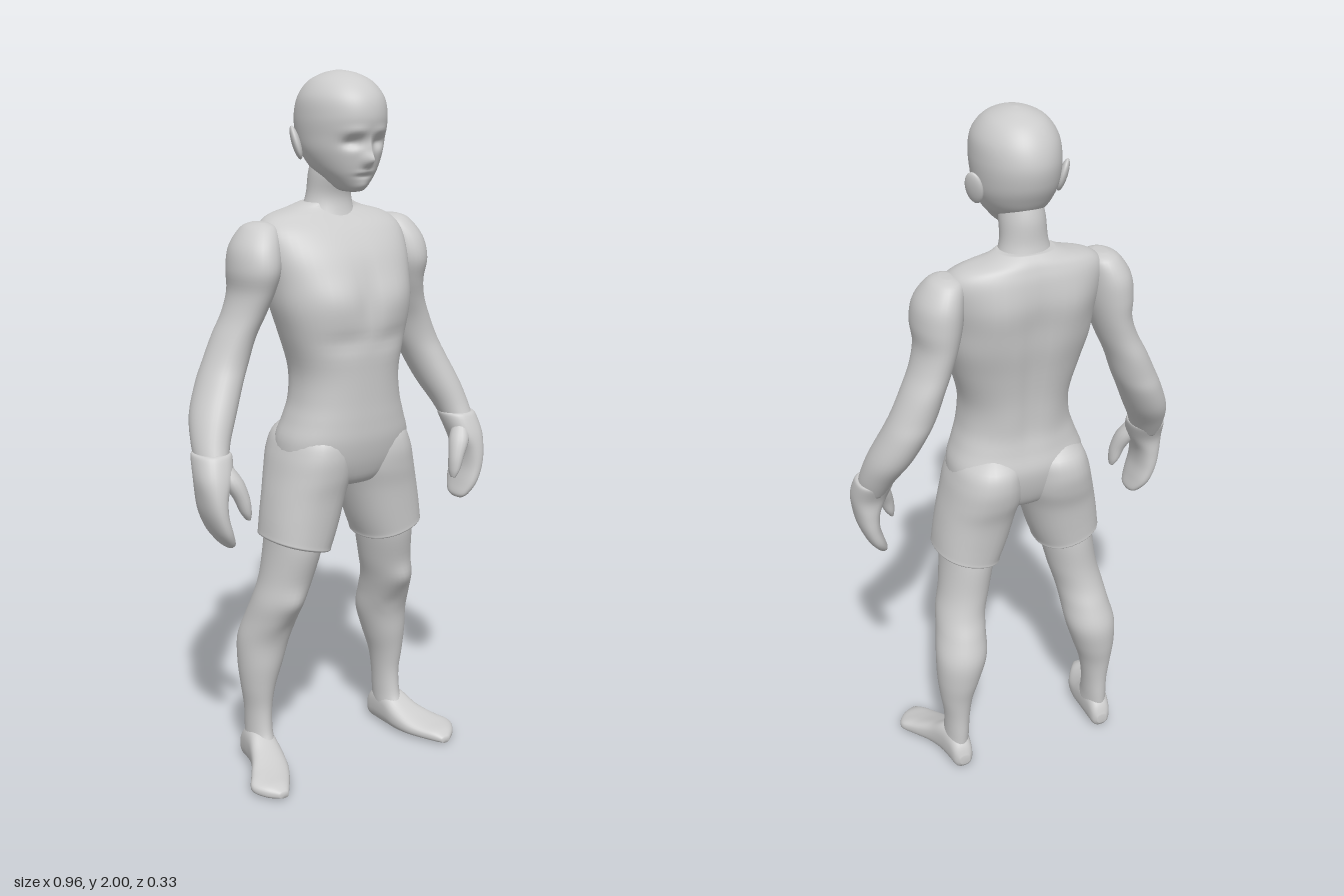
import * as THREE from 'three';

const skin = new THREE.MeshStandardMaterial({ color: 0xcccccc });
skin.name = 'plain grey';

// Smooth interpolation between section rows
function sampleRows(rows, steps) {
  const out = [];
  for (let i = 0; i < rows.length - 1; i++) {
    const p0 = rows[Math.max(i - 1, 0)], p1 = rows[i], p2 = rows[i + 1], p3 = rows[Math.min(i + 2, rows.length - 1)];
    for (let s = 0; s < steps; s++) {
      const t = s / steps;
      out.push(p1.map((_, k) => p1[k] + 0.5 * t * (p2[k] - p0[k] + t * (2 * p0[k] - 5 * p1[k] + 4 * p2[k] - p3[k]
        + t * (3 * (p1[k] - p2[k]) + p3[k] - p0[k])))));
    }
  }
  out.push(rows[rows.length - 1]);
  return out;
}

// Closed loft; each row is [t, xMin, xMax, bMin, bMax], with t along y (b = z) or along z (b = y)
function loft(name, rows, { axis = 'y', side = 1, power = 2, n = 32, steps = 5, rule } = {}) {
  const rings = sampleRows(rows, steps), pos = [], idx = [];
  const add = (a, t, b) => {
    const v = axis === 'y' ? new THREE.Vector3(a, t, b) : new THREE.Vector3(a, b, t);
    if (rule) rule(v);
    pos.push(v.x * side, v.y, v.z);
  };
  const bend = c => Math.sign(c) * Math.abs(c) ** (2 / power);
  for (const [t, x0, x1, b0, b1] of rings) {
    for (let j = 0; j < n; j++) {
      const th = j / n * Math.PI * 2;
      add((x0 + x1) / 2 + bend(Math.cos(th)) * (x1 - x0) / 2, t, (b0 + b1) / 2 + bend(Math.sin(th)) * (b1 - b0) / 2);
    }
  }
  for (const [t, x0, x1, b0, b1] of [rings[0], rings[rings.length - 1]]) add((x0 + x1) / 2, t, (b0 + b1) / 2);
  const flip = (rows[0][0] > rows[rows.length - 1][0]) !== (axis === 'z') !== (side < 0);
  const tri = (a, b, c) => flip ? idx.push(a, c, b) : idx.push(a, b, c);
  const last = (rings.length - 1) * n, start = last + n;
  for (let j = 0; j < n; j++) {
    const k = (j + 1) % n;
    for (let i = 0; i < last; i += n) {
      tri(i + j, i + n + j, i + k);
      tri(i + k, i + n + j, i + n + k);
    }
    tri(start, j, k);
    tri(start + 1, last + k, last + j);
  }
  const g = new THREE.BufferGeometry();
  g.setAttribute('position', new THREE.Float32BufferAttribute(pos, 3));
  g.setIndex(idx);
  g.computeVertexNormals();
  const mesh = new THREE.Mesh(g, skin);
  mesh.name = name;
  return mesh;
}

// Soft bumps [x, y, z, radiusX, radiusY, pushZ], mirrored across x
const sculpt = bumps => v => {
  let push = 0;
  for (const [x, y, z, rx, ry, d] of bumps) {
    if (v.z * z < 0) continue;
    push += d * Math.exp(-(((Math.abs(v.x) - x) / rx) ** 2) - ((v.y - y) / ry) ** 2);
  }
  v.z += push;
};

// Symmetric rows from [y, halfWidth, zBack, zFront]
const centred = rows => rows.map(([y, w, b, f]) => [y, -w, w, b, f]);

function createModel() {
  const model = new THREE.Group();
  model.name = 'figure';

  // Torso with chest, shoulder blades and spine
  model.add(loft('torso', centred([
    [0.86, 0.04, -0.05, 0.05], [0.88, 0.12, -0.09, 0.11], [0.93, 0.19, -0.115, 0.138], [1.0, 0.198, -0.128, 0.155],
    [1.06, 0.178, -0.115, 0.158], [1.12, 0.16, -0.105, 0.158], [1.2, 0.156, -0.112, 0.16], [1.3, 0.183, -0.13, 0.164],
    [1.38, 0.205, -0.145, 0.158], [1.45, 0.213, -0.152, 0.142], [1.52, 0.222, -0.16, 0.112], [1.58, 0.22, -0.155, 0.065],
    [1.615, 0.185, -0.145, 0.02], [1.635, 0.115, -0.135, 0.0], [1.65, 0.075, -0.12, 0.0],
  ]), {
    power: 2.3, n: 48, rule: sculpt([
      [0.09, 1.4, 1, 0.07, 0.06, 0.012], [0, 1.41, 1, 0.02, 0.08, -0.008], [0.07, 1.29, 1, 0.07, 0.025, -0.008],
      [0.11, 1.48, -1, 0.06, 0.1, -0.012], [0, 1.35, -1, 0.03, 0.2, 0.014], [0.06, 1.14, -1, 0.05, 0.08, -0.006],
    ]),
  }));

  // Neck
  model.add(loft('neck', centred([
    [1.57, 0.1, -0.12, 0.04], [1.62, 0.08, -0.12, 0.018], [1.67, 0.064, -0.108, 0.01],
    [1.73, 0.06, -0.104, 0.03], [1.78, 0.05, -0.09, 0.03],
  ])));

  // Head with eye sockets, brow, nose, lips and chin
  model.add(loft('head', centred([
    [1.683, 0.012, 0.035, 0.08], [1.69, 0.034, 0.012, 0.103], [1.72, 0.062, -0.03, 0.122], [1.75, 0.086, -0.085, 0.132],
    [1.79, 0.104, -0.115, 0.14], [1.83, 0.111, -0.133, 0.148], [1.88, 0.114, -0.14, 0.158], [1.93, 0.107, -0.125, 0.146],
    [1.97, 0.08, -0.092, 0.108], [1.992, 0.04, -0.045, 0.058], [2.0, 0.004, -0.002, 0.008],
  ]), {
    n: 64, steps: 8, rule: sculpt([
      [0.04, 1.815, 1, 0.024, 0.016, -0.02], [0.04, 1.845, 1, 0.03, 0.012, 0.005],
      [0, 1.77, 1, 0.013, 0.018, 0.032], [0, 1.8, 1, 0.01, 0.02, 0.01],
      [0, 1.727, 1, 0.025, 0.006, -0.005], [0, 1.738, 1, 0.022, 0.006, 0.005], [0, 1.7, 1, 0.02, 0.012, 0.005],
    ]),
  }));

  for (const side of [1, -1]) {
    const label = side > 0 ? 'left' : 'right';
    const limb = (part, rows, opts = {}) => model.add(loft(label + part, rows, { side, ...opts }));

    // Ear
    const ear = new THREE.Mesh(new THREE.SphereGeometry(1, 20, 14), skin);
    ear.name = label + 'Ear';
    ear.scale.set(0.012, 0.046, 0.028);
    ear.position.set(side * 0.123, 1.812, -0.02);
    ear.rotation.set(-0.15, side * 0.55, side * -0.2);
    model.add(ear);

    // Arm from shoulder to wrist
    limb('Arm', [
      [1.605, 0.205, 0.235, -0.08, -0.03], [1.59, 0.175, 0.268, -0.115, 0.005], [1.54, 0.175, 0.302, -0.14, 0.04],
      [1.48, 0.18, 0.312, -0.145, 0.053], [1.42, 0.195, 0.308, -0.142, 0.035], [1.36, 0.215, 0.325, -0.14, 0.015],
      [1.3, 0.24, 0.355, -0.143, 0.002], [1.235, 0.262, 0.386, -0.14, 0.0], [1.18, 0.287, 0.412, -0.137, 0.012],
      [1.1, 0.325, 0.447, -0.112, 0.036], [1.03, 0.362, 0.463, -0.068, 0.056], [0.97, 0.385, 0.466, -0.03, 0.078],
    ]);

    // Curled hand with cuff, and thumb
    limb('Hand', [
      [1.01, 0.376, 0.466, -0.045, 0.062], [1.0, 0.37, 0.474, -0.045, 0.074], [0.95, 0.382, 0.481, -0.022, 0.095],
      [0.9, 0.404, 0.476, -0.02, 0.106], [0.85, 0.408, 0.466, -0.02, 0.11], [0.8, 0.396, 0.446, -0.014, 0.107],
      [0.765, 0.386, 0.422, 0.008, 0.092], [0.752, 0.39, 0.408, 0.03, 0.075],
    ], { power: 2.3 });
    limb('Thumb', [
      [0.985, 0.39, 0.42, 0.03, 0.07], [0.94, 0.362, 0.42, 0.035, 0.098], [0.89, 0.348, 0.392, 0.055, 0.106],
      [0.85, 0.345, 0.375, 0.064, 0.105], [0.828, 0.348, 0.36, 0.075, 0.097],
    ], { n: 16 });

    // Shorts leg, its hem rising outwards
    limb('ShortsLeg', [
      [1.06, 0.07, 0.12, -0.08, 0.08], [1.02, 0.01, 0.18, -0.132, 0.13], [0.97, 0.0, 0.204, -0.146, 0.145],
      [0.91, -0.002, 0.22, -0.138, 0.142], [0.85, 0.015, 0.234, -0.12, 0.132], [0.78, 0.038, 0.245, -0.11, 0.126],
      [0.72, 0.06, 0.252, -0.104, 0.122], [0.705, 0.064, 0.253, -0.103, 0.121], [0.7, 0.076, 0.242, -0.092, 0.11],
    ], {
      power: 2.25, rule: v => { v.y += (v.x - 0.155) * 0.27 * THREE.MathUtils.smoothstep(0.9 - v.y, 0, 0.18); },
    });

    // Leg with knee and calf
    limb('Leg', [
      [0.79, 0.075, 0.235, -0.085, 0.098], [0.7, 0.08, 0.237, -0.098, 0.1], [0.6, 0.1, 0.248, -0.1, 0.076],
      [0.53, 0.119, 0.264, -0.112, 0.06], [0.47, 0.129, 0.274, -0.137, 0.035], [0.4, 0.136, 0.287, -0.16, 0.002],
      [0.32, 0.16, 0.287, -0.155, -0.01], [0.25, 0.183, 0.28, -0.142, -0.022], [0.18, 0.195, 0.27, -0.135, -0.03],
      [0.11, 0.199, 0.269, -0.134, -0.022], [0.06, 0.2, 0.272, -0.13, 0.0], [0.03, 0.21, 0.26, -0.11, -0.02],
    ], { rule: sculpt([[0.19, 0.535, 1, 0.035, 0.035, 0.012], [0.19, 0.45, 1, 0.03, 0.03, -0.006]]) });

    // Foot, heel to toe
    limb('Foot', [
      [-0.15, 0.218, 0.25, 0.02, 0.05], [-0.135, 0.205, 0.265, 0.002, 0.085], [-0.1, 0.2, 0.274, 0, 0.115],
      [-0.05, 0.198, 0.286, 0, 0.115], [0, 0.2, 0.306, 0, 0.084], [0.05, 0.212, 0.338, 0, 0.06],
      [0.09, 0.232, 0.36, 0, 0.047], [0.13, 0.258, 0.34, 0, 0.037], [0.157, 0.278, 0.306, 0.004, 0.022],
    ], { axis: 'z', power: 2.5 });
  }
  return model;
}

export { createModel };
